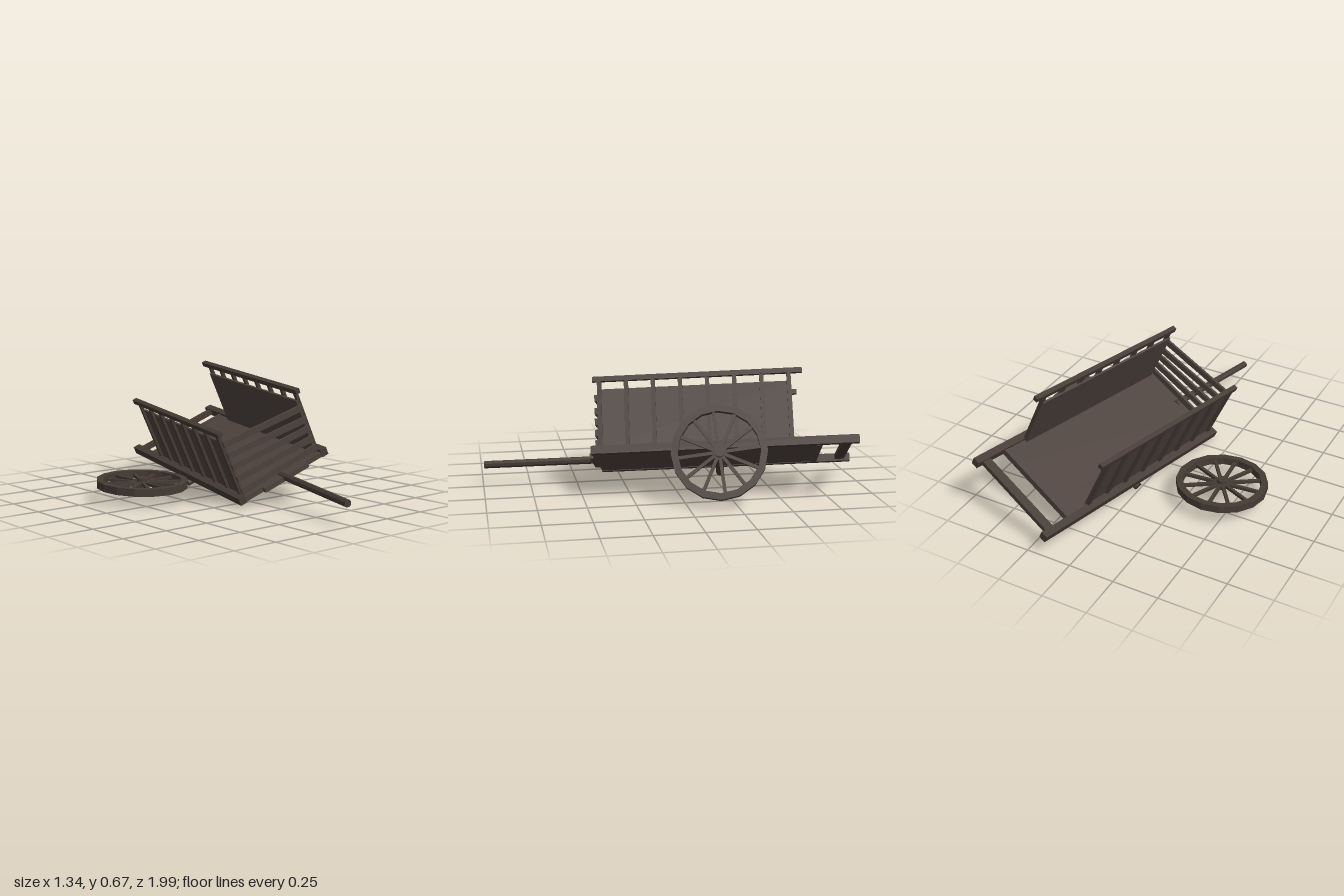
import * as THREE from 'three';

export function createModel() {
  const root = new THREE.Group();
  root.name = 'brokenCart';
  const plankWood = new THREE.MeshStandardMaterial({ color: 0x4e433e, flatShading: true });
  plankWood.name = 'plankWood';
  const beamWood = new THREE.MeshStandardMaterial({ color: 0x463b35, flatShading: true });
  beamWood.name = 'beamWood';

  const add = (parent, name, geometry, material, x, y, z) => {
    const mesh = new THREE.Mesh(geometry, material);
    mesh.name = name;
    mesh.position.set(x, y, z);
    parent.add(mesh);
    return mesh;
  };
  const box = (parent, name, size, pos, material = beamWood) =>
    add(parent, name, new THREE.BoxGeometry(...size), material, ...pos);

  // Cart frame: x across, y up from the floor, z toward the shaft; leaning on its bare axle
  const across = new THREE.Vector3(0.886, 0.41, 0.215).normalize();
  const up = new THREE.Vector3(-0.212, -0.054, 0.976).cross(across).normalize();
  const along = new THREE.Vector3().crossVectors(across, up);
  const cart = new THREE.Group();
  cart.name = 'cart';
  cart.quaternion.setFromRotationMatrix(new THREE.Matrix4().makeBasis(across, up, along));
  root.add(cart);
  const mid = 0.24;

  // Floor planks, the middle one sticking out at the front
  for (const [x0, x1, front] of [[-0.015, 0.1, 0.36], [0.1, 0.385, 0.385], [0.385, 0.495, 0.36]]) {
    box(cart, 'floorPlank', [x1 - x0, 0.026, front + 0.79], [(x0 + x1) / 2, 0.07, (front - 0.79) / 2], plankWood);
  }
  box(cart, 'floorEnd', [0.5, 0.034, 0.03], [mid, 0.07, -0.803], plankWood);
  box(cart, 'rearCrossbar', [0.52, 0.024, 0.05], [mid, 0.076, -0.945]);

  // Side walls
  for (const side of [-1, 1]) {
    const x = (d) => mid + side * d;
    box(cart, 'sideBeam', [0.04, 0.042, 1.365], [x(0.267), 0.075, -0.32]);
    box(cart, 'topRail', [0.026, 0.026, 1.085], [x(0.247), 0.452, -0.192]);
    box(cart, 'sidePanel', [0.012, 0.32, 1.0], [x(0.236), 0.24, -0.172], plankWood);
    for (let i = 0; i < 8; i++) {
      box(cart, 'sidePost', [0.018, 0.365, 0.022], [x(0.248), 0.265, 0.315 - i * 0.14]);
    }
  }

  // Crooked slats closing the front: height at each end
  for (const [a, b] of [[0.39, 0.355], [0.325, 0.285], [0.255, 0.23], [0.185, 0.17], [0.11, 0.115]]) {
    const slat = box(cart, 'frontSlat', [0.49, 0.034, 0.014], [mid, (a + b) / 2, 0.335], plankWood);
    slat.rotation.z = Math.atan2(b - a, 0.48);
  }

  // Pulling shaft and axle
  const shaft = add(cart, 'shaft', new THREE.CylinderGeometry(0.02, 0.02, 0.66, 8), beamWood, mid, 0.074, 0.636);
  shaft.rotation.x = Math.PI / 2;
  const axle = add(cart, 'axle', new THREE.CylinderGeometry(0.022, 0.022, 0.625, 8), beamWood, 0.262, 0.028, -0.29);
  axle.rotation.z = Math.PI / 2;

  // Spoked wheel around its own y axis
  const makeWheel = (name) => {
    const wheel = new THREE.Group();
    wheel.name = name;
    const outer = 0.245, inner = 0.21, h = 0.02;
    const profile = [[outer, -h], [outer, h], [inner, h], [inner, -h], [outer, -h]]
      .map(([r, y]) => new THREE.Vector2(r, y));
    add(wheel, 'rim', new THREE.LatheGeometry(profile, 16), beamWood, 0, 0, 0);
    add(wheel, 'hub', new THREE.CylinderGeometry(0.028, 0.028, 0.056, 10), beamWood, 0, 0, 0);
    for (let i = 0; i < 12; i++) {
      const a = (i / 12) * Math.PI * 2 + 0.1;
      const spoke = box(wheel, 'spoke', [0.2, 0.016, 0.017], [Math.cos(a) * 0.115, 0, -Math.sin(a) * 0.115]);
      spoke.rotation.y = a;
    }
    return wheel;
  };

  const mounted = makeWheel('mountedWheel');
  mounted.position.set(0.553, 0.028, -0.292);
  mounted.rotation.z = -Math.PI / 2;
  cart.add(mounted);

  // Wheel that came off, lying flat
  const loose = makeWheel('looseWheel');
  loose.position.set(-0.422, 0.096, -0.143);
  loose.rotation.x = 0.04;
  root.add(loose);

  return root;
}
